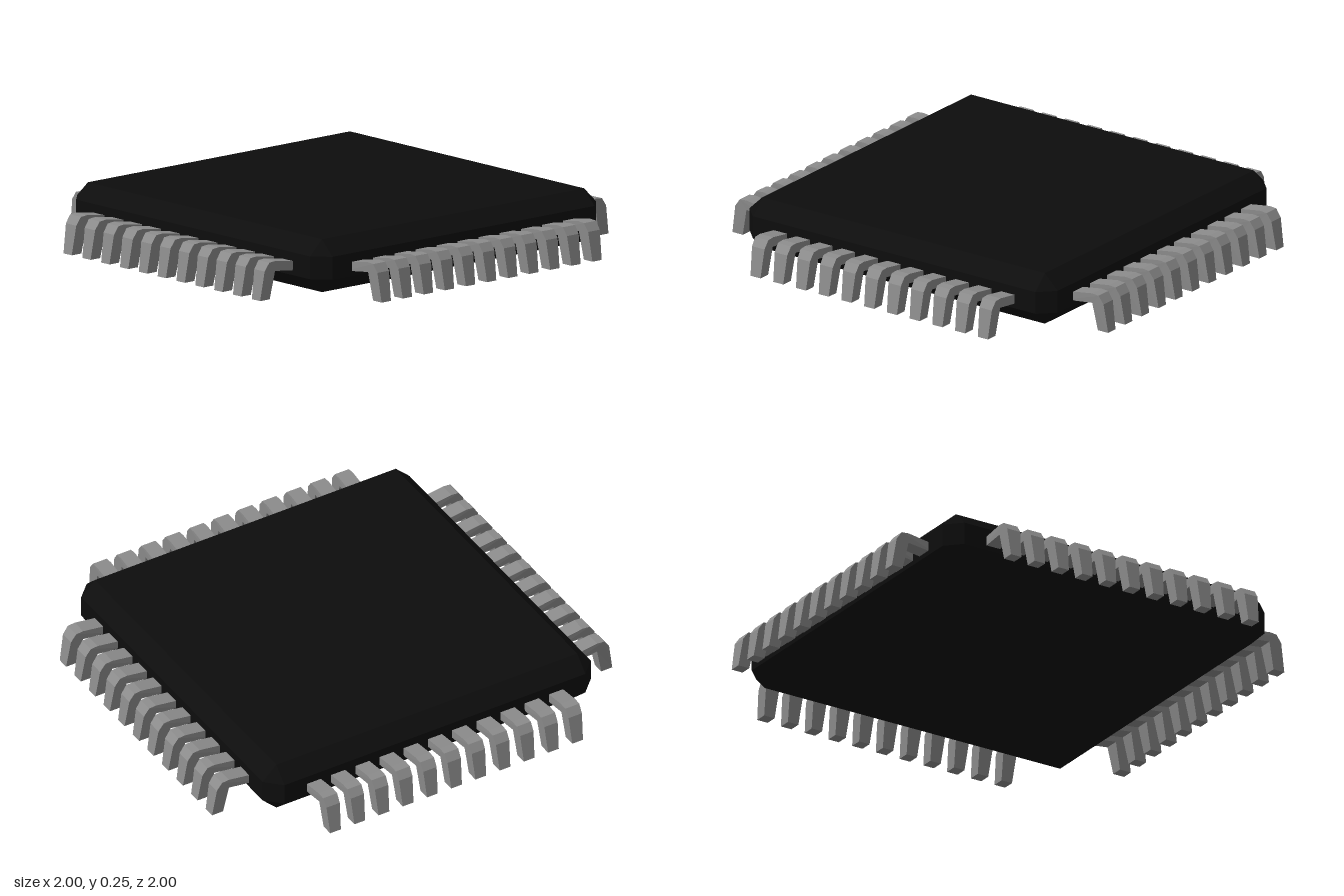
import * as THREE from 'three';
import { ConvexGeometry } from 'three/addons/geometries/ConvexGeometry.js';

const LEADS = 11, PITCH = 0.121, LEAD_WIDTH = 0.07;

// Flat slab with every edge and corner chamfered
function makeBody() {
  const midY = 0.139, outer = 0.82, inner = 0.752, high = 0.116, low = 0.05;
  const points = [];
  for (const sx of [-1, 1]) for (const sy of [-1, 1]) for (const sz of [-1, 1]) {
    points.push(
      new THREE.Vector3(sx * inner, midY + sy * high, sz * inner),
      new THREE.Vector3(sx * outer, midY + sy * low, sz * inner),
      new THREE.Vector3(sx * inner, midY + sy * low, sz * outer));
  }
  const material = new THREE.MeshStandardMaterial({ color: 0x0d0d0d, flatShading: true });
  const body = new THREE.Mesh(new ConvexGeometry(points), material);
  body.name = 'chipBody';
  return body;
}

// Bent pin: side profile extruded across its width, narrowing to the foot
function makeLeadGeometry() {
  const profile = [
    [0.78, 0.105], [0.92, 0.122], [0.945, 0], [1, 0],
    [0.98, 0.128], [0.955, 0.163], [0.92, 0.166], [0.78, 0.145],
  ].map(([x, y]) => new THREE.Vector2(x, y));
  const geometry = new THREE.ExtrudeGeometry(new THREE.Shape(profile), {
    depth: LEAD_WIDTH, bevelEnabled: false,
  });
  geometry.translate(0, 0, -LEAD_WIDTH / 2);
  const p = geometry.attributes.position;
  for (let i = 0; i < p.count; i++) {
    if (p.getX(i) < 0.93) {
      if (p.getX(i) > 0.9 && p.getY(i) < 0.14) p.setZ(i, p.getZ(i) * 0.95);
      continue;
    }
    p.setZ(i, p.getZ(i) * (0.76 + 0.24 * Math.min(1, p.getY(i) / 0.16)));
  }
  geometry.computeVertexNormals();
  return geometry;
}

export function createModel() {
  const model = new THREE.Group();
  model.name = 'flatPackChip';
  model.add(makeBody());

  // One row of pins on each of the four sides
  const geometry = makeLeadGeometry();
  const metal = new THREE.MeshStandardMaterial({ color: 0x8c8c8c, flatShading: true });
  ['left', 'back', 'right', 'front'].forEach((side, s) => {
    const row = new THREE.Group();
    row.name = side + 'Pins';
    row.rotation.y = s * Math.PI / 2;
    for (let i = 0; i < LEADS; i++) {
      const pin = new THREE.Mesh(geometry, metal);
      pin.name = 'pin' + (i + 1);
      pin.position.z = (i - (LEADS - 1) / 2) * PITCH;
      row.add(pin);
    }
    model.add(row);
  });
  return model;
}
